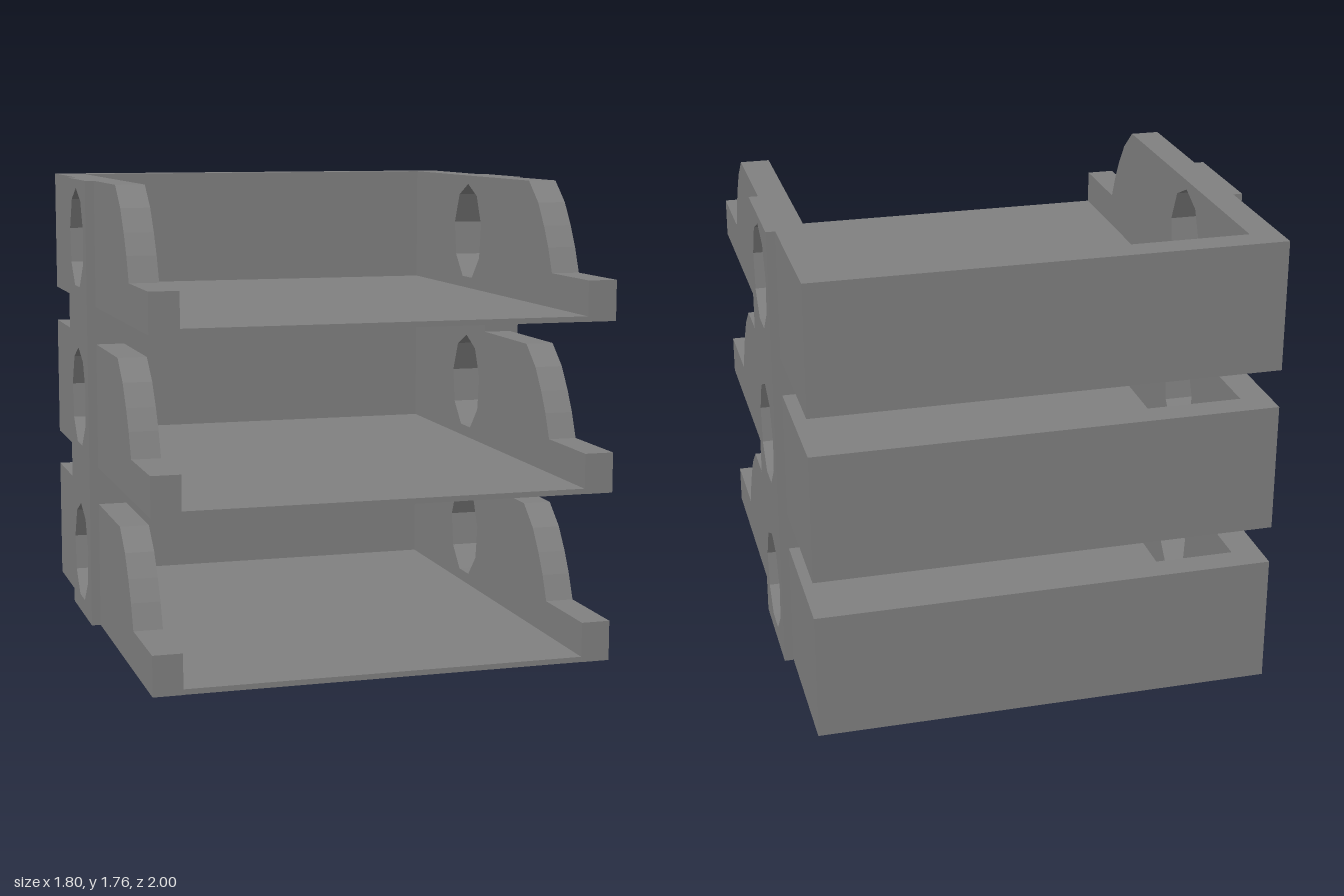
import * as THREE from 'three';

const OUTER = 0.865, INNER = 0.755, POST = 0.9; // x extents of walls and posts
const PITCH = 0.635, HEIGHT = 0.49, TOP = 2 * PITCH + HEIGHT;
const POST_BACK = -0.45, POST_FRONT = -0.03;

const grey = new THREE.MeshStandardMaterial({ color: 0x808080 });
grey.name = 'grey plastic';

// Nine-sided oval opening, in (z, y)
function ovalHole(base) {
  const pts = [];
  for (let i = 0; i < 9; i++) {
    const a = (i / 9) * Math.PI * 2;
    pts.push(new THREE.Vector2(-0.245 + 0.158 * Math.sin(a), base + 0.254 + 0.201 * Math.cos(a)));
  }
  return new THREE.Path(pts);
}

// Extrude a (z, y) outline between two x positions
function panel(name, points, holes, x0, x1) {
  const shape = new THREE.Shape(points.map(([z, y]) => new THREE.Vector2(z, y)));
  shape.holes.push(...holes);
  const geo = new THREE.ExtrudeGeometry(shape, { depth: x1 - x0, bevelEnabled: false });
  geo.rotateY(-Math.PI / 2);
  geo.translate(x1, 0, 0);
  const mesh = new THREE.Mesh(geo, grey);
  mesh.name = name;
  return mesh;
}

function box(name, x0, x1, y0, y1, z0, z1) {
  const mesh = new THREE.Mesh(new THREE.BoxGeometry(x1 - x0, y1 - y0, z1 - z0), grey);
  mesh.name = name;
  mesh.position.set((x0 + x1) / 2, (y0 + y1) / 2, (z0 + z1) / 2);
  return mesh;
}

// x range on either side of the model
const span = (side, a, b) => (side > 0 ? [a, b] : [-b, -a]);

function createTray() {
  const tray = new THREE.Group();
  tray.add(box('floor', -INNER, INNER, 0, 0.02, -0.895, 0.998));
  tray.add(box('backWall', -INNER, INNER, 0, HEIGHT, -1, -0.895));
  // Side walls step down to a low lip at the front
  const profile = [
    [-1, 0], [1, 0], [1, 0.15], [0.66, 0.15], [0.62, 0.245],
    [0.575, 0.325], [0.515, 0.41], [0.42, HEIGHT], [-1, HEIGHT],
  ];
  for (const side of [1, -1]) {
    const name = side > 0 ? 'leftWall' : 'rightWall';
    tray.add(panel(name, profile, [ovalHole(0)], ...span(side, INNER, OUTER)));
  }
  return tray;
}

export function createModel() {
  const model = new THREE.Group();
  model.name = 'letterTrayStack';

  const bases = [0, PITCH, 2 * PITCH];
  bases.forEach((y, i) => {
    const tray = createTray();
    tray.name = ['bottomTray', 'middleTray', 'topTray'][i];
    tray.position.y = y;
    model.add(tray);
  });

  // Upright posts joining the trays, with spacers filling the gaps
  const outline = [[POST_BACK, 0], [POST_FRONT, 0], [POST_FRONT, TOP], [POST_BACK, TOP]];
  for (const side of [1, -1]) {
    const post = new THREE.Group();
    post.name = side > 0 ? 'leftPost' : 'rightPost';
    post.add(panel('postPlate', outline, bases.map(ovalHole), ...span(side, OUTER, POST)));
    for (const y of bases.slice(0, 2)) {
      post.add(box('spacer', ...span(side, INNER, OUTER), y + HEIGHT, y + PITCH, POST_BACK, POST_FRONT));
    }
    model.add(post);
  }
  return model;
}
